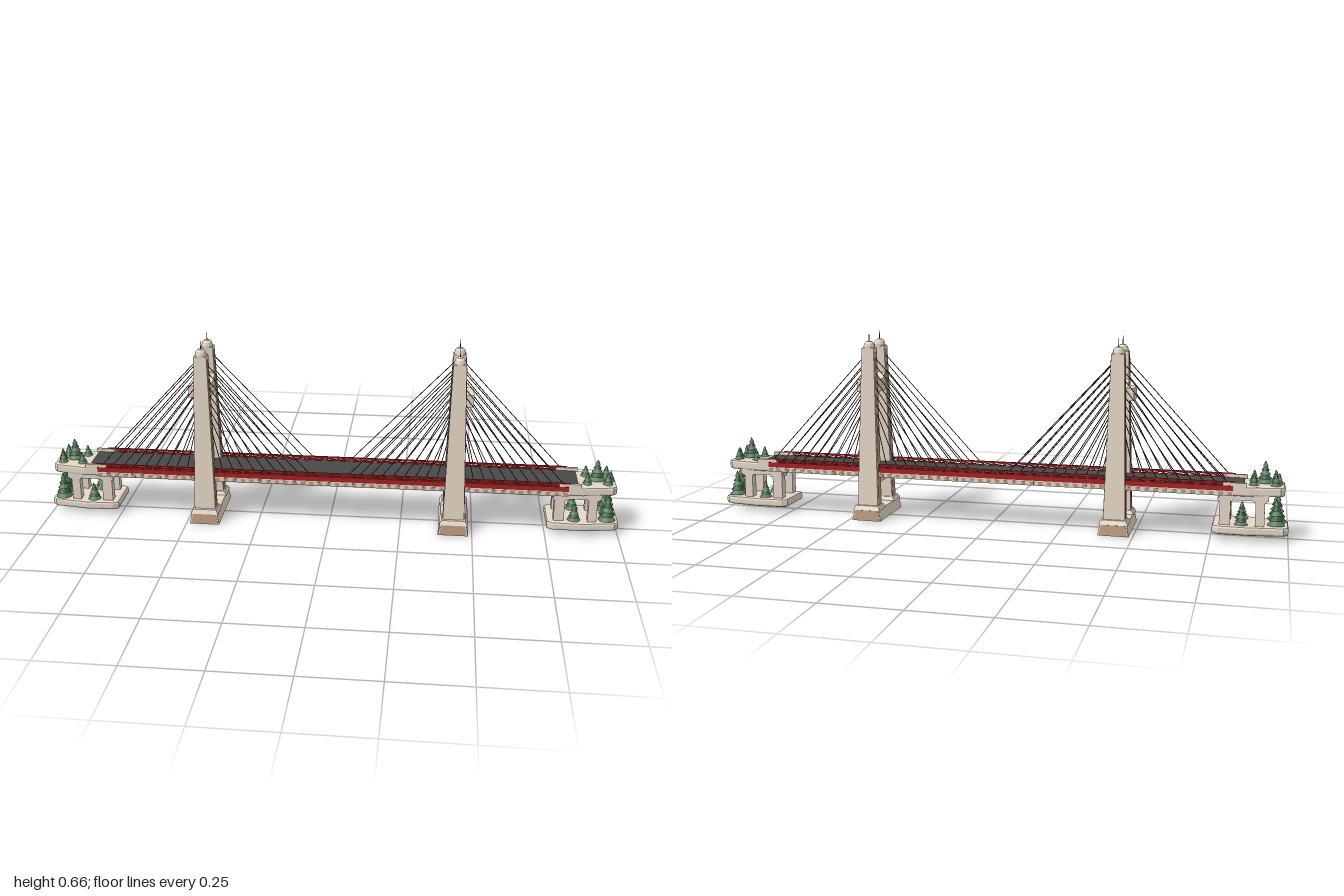
import * as THREE from 'three';
import { mergeGeometries } from 'three/addons/utils/BufferGeometryUtils.js';

const mat = (name, color, flatShading = false) => {
  const m = new THREE.MeshStandardMaterial({ color, flatShading });
  m.name = name;
  return m;
};
const stone = mat('stone', 0xe5d7c7, true);
const weathered = mat('weatheredStone', 0xb9977f);
const greyStone = mat('greyStone', 0xc2b6a8);
const terracotta = mat('terracotta', 0xb0735b);
const asphalt = mat('asphalt', 0x484849);
const underside = mat('deckUnderside', 0x5c574d);
const steel = mat('darkSteel', 0x3d3731);
const red = mat('redPaint', 0xa82020);
const green = mat('pineGreen', 0x587c5c, true);
const darkGreen = mat('darkPineGreen', 0x38593e, true);

const add = (parent, name, geometry, material) => {
  const m = new THREE.Mesh(geometry, material);
  m.name = name;
  parent.add(m);
  return m;
};
const box = (w, h, d, x, y, z) => new THREE.BoxGeometry(w, h, d).translate(x, y, z);

// Tapered block: half sizes and z centre differ between bottom and top
function taper(y0, y1, x0, x1, z0, z1, c0 = 0, c1 = 0) {
  const g = new THREE.BoxGeometry(2, 1, 2);
  const p = g.attributes.position;
  for (let i = 0; i < p.count; i++) {
    const top = p.getY(i) > 0;
    p.setXYZ(i, p.getX(i) * (top ? x1 : x0), top ? y1 : y0, p.getZ(i) * (top ? z1 : z0) + (top ? c1 : c0));
  }
  g.computeVertexNormals();
  return g;
}

// Thin round bar between two points
function bar(a, b, r, sides = 5) {
  const d = b.clone().sub(a);
  const g = new THREE.CylinderGeometry(r, r, d.length(), sides);
  g.applyQuaternion(new THREE.Quaternion().setFromUnitVectors(new THREE.Vector3(0, 1, 0), d.normalize()));
  const m = a.clone().add(b).multiplyScalar(0.5);
  return g.translate(m.x, m.y, m.z);
}

// Slab with a bevelled edge; the outline gives one half as [x, z] and is mirrored in z
function slab(half, y0, y1, bevel) {
  const points = [...half.map(([x, z]) => [x, -z]), ...half.slice().reverse()];
  const shape = new THREE.Shape(points.map(([x, z]) => new THREE.Vector2(x, z)));
  const g = new THREE.ExtrudeGeometry(shape, {
    depth: y1 - y0 - 2 * bevel, bevelEnabled: true, bevelSize: bevel, bevelOffset: -bevel,
    bevelThickness: bevel, bevelSegments: 2,
  });
  return g.rotateX(-Math.PI / 2).translate(0, y0 + bevel, 0);
}

// Pine with ragged, drooping tiers
function makeTree(x, y, z, height, radius) {
  const tree = new THREE.Group();
  tree.name = 'pineTree';
  add(tree, 'trunk', new THREE.CylinderGeometry(radius * 0.15, radius * 0.2, height * 0.2, 6).translate(0, height * 0.1, 0), steel);
  for (let i = 0; i < 5; i++) {
    const h = height * (0.32 - i * 0.02), r = radius * (1.08 - i * 0.18);
    const g = new THREE.ConeGeometry(r, h, 14, 2);
    const p = g.attributes.position;
    for (let k = 0; k < p.count; k++) {
      const a = Math.atan2(p.getZ(k), p.getX(k)), reach = Math.hypot(p.getX(k), p.getZ(k)) / r;
      const s = 1 + 0.15 * Math.cos(a * 7) * reach;
      p.setXYZ(k, p.getX(k) * s, p.getY(k) - 0.1 * h * Math.cos(a * 7) * reach, p.getZ(k) * s);
    }
    g.rotateY(i * 0.6).translate(0, height * (0.08 + i * 0.17) + h / 2, 0);
    add(tree, 'foliage', g, i % 2 ? darkGreen : green);
  }
  tree.position.set(x, y, z);
  return tree;
}

function makeTower() {
  const tower = new THREE.Group();
  tower.name = 'tower';

  // Footing with rims, weathered end faces and sockets underneath
  add(tower, 'footing', taper(0.001, 0.04, 0.052, 0.045, 0.115, 0.109), stone);
  for (const s of [-1, 1]) {
    add(tower, 'footingRim', taper(0.038, 0.053, 0.049, 0.041, 0.035, 0.028, s * 0.078, s * 0.078), stone);
    add(tower, 'footingPanel', taper(0.003, 0.037, 0.047, 0.041, 0.001, 0.001, s * 0.115, s * 0.1098), weathered);
    add(tower, 'footingSocket', box(0.05, 0.002, 0.045, 0, 0.001, s * 0.06), greyStone);

    // Leaning leg with panels: painted on the outward face, weathered on the inward face
    add(tower, 'leg', taper(0.045, 0.605, 0.037, 0.022, 0.0205, 0.0175, s * 0.076, s * 0.054), stone);
    for (const [dir, m] of [[1, terracotta], [-1, weathered]]) {
      const panel = taper(0.055, 0.59, 0.001, 0.001, 0.0125, 0.0105, s * 0.0765, s * 0.0545);
      const p = panel.attributes.position;
      for (let i = 0; i < p.count; i++) p.setX(i, p.getX(i) + dir * (0.0373 - 0.0268 * (p.getY(i) - 0.045)));
      panel.computeVertexNormals();
      add(tower, 'legPanel', panel, m);
    }

    // Domed cap and spire
    const cap = [[0.001, 0.598], [0.0195, 0.6], [0.0198, 0.61], [0.017, 0.62], [0.01, 0.627], [0, 0.629]];
    const dome = new THREE.LatheGeometry(cap.map(([r, y]) => new THREE.Vector2(r, y)), 12);
    add(tower, 'cap', dome.translate(0, 0, s * 0.053), stone);
    add(tower, 'spire', new THREE.CylinderGeometry(0.0007, 0.002, 0.03, 6).translate(0, 0.641, s * 0.053), steel);
  }

  // Upper crossbeam with curved haunches, outer face block, and the beam carrying the deck
  const beam = new THREE.Shape();
  beam.moveTo(-0.045, 0.447);
  beam.lineTo(0.045, 0.447);
  beam.lineTo(0.045, 0.515);
  beam.lineTo(0.037, 0.508);
  beam.quadraticCurveTo(0.033, 0.491, 0.015, 0.49);
  beam.lineTo(-0.015, 0.49);
  beam.quadraticCurveTo(-0.033, 0.491, -0.037, 0.508);
  beam.lineTo(-0.045, 0.515);
  const beamGeo = new THREE.ExtrudeGeometry(beam, { depth: 0.046, bevelEnabled: false, curveSegments: 6 });
  add(tower, 'crossbeam', beamGeo.translate(0, 0, -0.023).rotateY(Math.PI / 2), stone);
  add(tower, 'crossbeamFace', box(0.036, 0.043, 0.08, 0.034, 0.4685, 0), stone);
  add(tower, 'deckBeam', box(0.05, 0.03, 0.13, 0, 0.14, 0), stone);

  // Fans of stay cables on both sides of both legs
  const cables = [];
  for (const s of [-1, 1]) for (const dir of [-1, 1]) for (let i = 0; i < 9; i++) {
    const t = i / 8;
    const top = new THREE.Vector3(dir * 0.022, 0.365 + 0.205 * t, s * (0.0635 - 0.008 * t));
    const foot = new THREE.Vector3(dir * (0.065 + 0.31 * t), 0.185, s * 0.071);
    cables.push(bar(top, foot, 0.0015));
  }
  add(tower, 'stayCables', mergeGeometries(cables), steel);
  return tower;
}

function makeAbutment() {
  const end = new THREE.Group();
  end.name = 'abutment';
  add(end, 'basePlate', slab([[0.755, 0.066], [0.775, 0.077], [0.87, 0.079], [0.985, 0.064], [1, 0.05]], 0.02, 0.05, 0.008), stone);
  add(end, 'basePlateUnderside', box(0.17, 0.002, 0.1, 0.87, 0.02, 0), greyStone);
  add(end, 'platform', slab([[0.78, 0.074], [0.87, 0.074], [0.972, 0.058], [0.985, 0.045]], 0.15, 0.182, 0.007), stone);
  add(end, 'platformBeam', box(0.16, 0.02, 0.13, 0.855, 0.145, 0), stone);

  // Supporting pillars with small capitals, and parapets beside the end of the road
  for (const s of [-1, 1]) {
    for (const [x, w] of [[0.795, 0.036], [0.908, 0.03]]) {
      add(end, 'pillar', box(w, 0.105, 0.028, x, 0.095, s * 0.045), stone);
      add(end, 'capital', box(w + 0.012, 0.012, 0.036, x, 0.136, s * 0.045), stone);
    }
    add(end, 'parapet', box(0.075, 0.026, 0.01, 0.825, 0.182, s * 0.07), stone);
  }

  // Pines on the lower plate and on the platform: x, y, z, height, radius
  const trees = [
    [0.966, 0.047, 0, 0.105, 0.026], [0.96, 0.047, 0.042, 0.095, 0.027], [0.96, 0.047, -0.042, 0.095, 0.027],
    [0.848, 0.045, 0.045, 0.065, 0.021], [0.848, 0.045, -0.045, 0.065, 0.021],
    [0.92, 0.18, 0, 0.08, 0.025], [0.955, 0.18, 0.032, 0.045, 0.016], [0.955, 0.18, -0.032, 0.045, 0.016],
    [0.885, 0.18, 0.034, 0.042, 0.015], [0.885, 0.18, -0.034, 0.042, 0.015], [0.966, 0.18, 0, 0.04, 0.014],
  ];
  for (const t of trees) end.add(makeTree(...t));
  return end;
}

function makeDeck() {
  const deck = new THREE.Group();
  deck.name = 'deck';
  add(deck, 'deckSlab', box(1.62, 0.02, 0.136, 0, 0.162, 0), underside);
  add(deck, 'roadway', box(1.71, 0.012, 0.136, 0, 0.178, 0), asphalt);
  for (const s of [-1, 1]) {
    add(deck, 'edgeGirder', box(1.64, 0.017, 0.012, 0, 0.1595, s * 0.071), stone);
    // Red railing: deep kerb, handrail, posts and diagonals
    const z = s * 0.0715;
    const parts = [box(1.64, 0.018, 0.01, 0, 0.176, z), box(1.64, 0.005, 0.006, 0, 0.1955, z)];
    const n = 41, step = 1.64 / n;
    for (let i = 0; i <= n; i++) {
      const x = -0.82 + i * step;
      parts.push(box(0.007, 0.02, 0.006, x, 0.188, z));
      if (i < n) parts.push(box(0.039, 0.003, 0.003, 0, 0, 0).rotateZ(i % 2 ? 0.2 : -0.2).translate(x + step / 2, 0.189, z));
    }
    add(deck, 'railing', mergeGeometries(parts), red);
    // Brackets along the girder
    const brackets = [];
    for (let i = 0; i < 55; i++) brackets.push(box(0.015, 0.011, 0.002, -0.81 + i * 0.03, 0.159, s * 0.0772));
    add(deck, 'girderBrackets', mergeGeometries(brackets), weathered);
  }
  return deck;
}

export function createModel() {
  const bridge = new THREE.Group();
  bridge.name = 'cableStayedBridge';
  bridge.add(makeDeck());
  for (const s of [-1, 1]) {
    // Half turn keeps each end facing outward
    const half = new THREE.Group();
    half.name = s > 0 ? 'leftHalf' : 'rightHalf';
    const tower = makeTower();
    tower.position.x = 0.435;
    half.add(tower, makeAbutment());
    if (s < 0) half.rotation.y = Math.PI;
    bridge.add(half);
  }
  return bridge;
}
